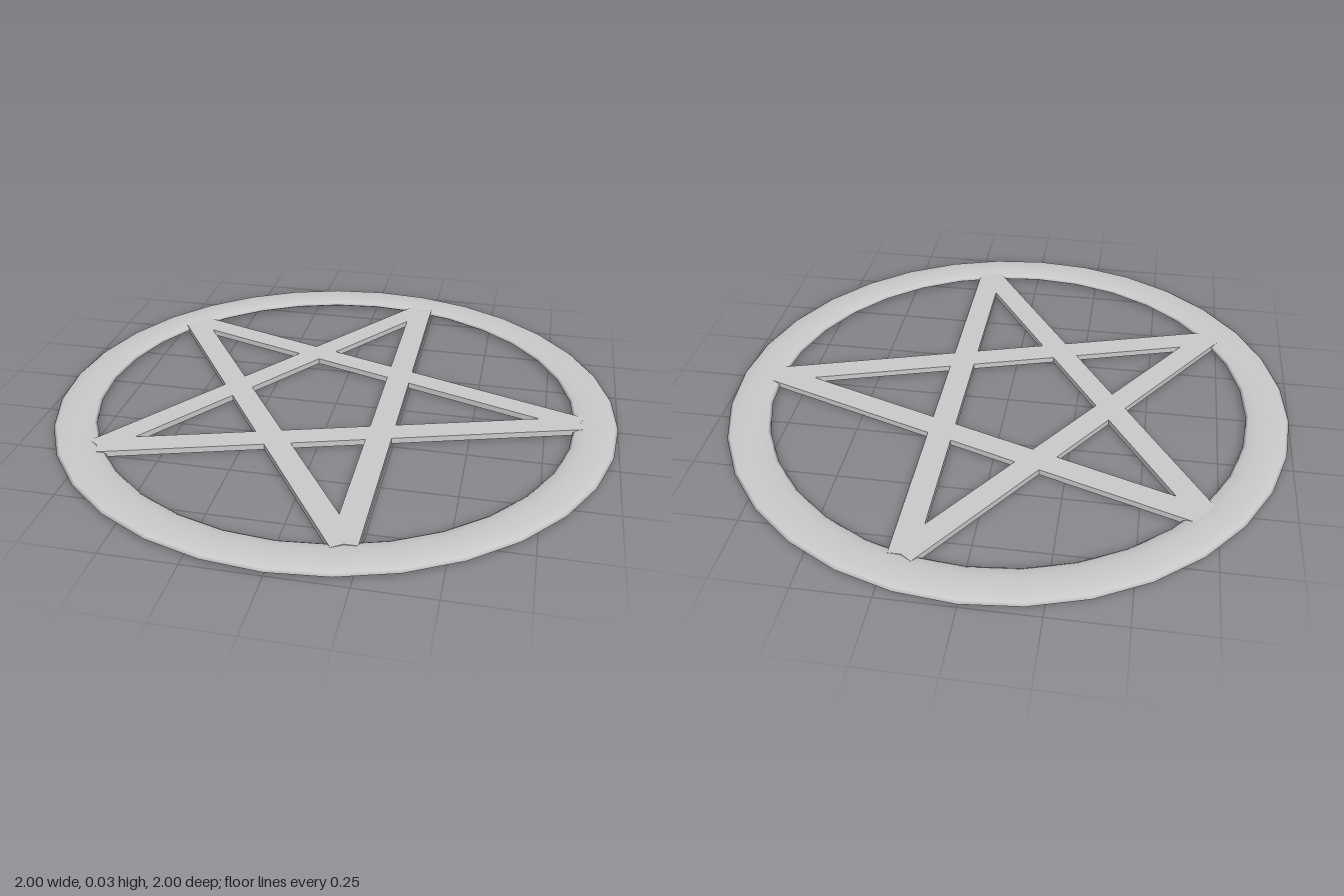
import * as THREE from 'three';

const HEIGHT = 0.026;      // full thickness of the ring
const BAR_HEIGHT = 0.021;
const BAR_WIDTH = 0.086;

export function createModel() {
  const group = new THREE.Group();
  group.name = 'starInRing';
  const material = new THREE.MeshStandardMaterial({ color: 0xcccccc });

  // Outer ring: a torus pressed nearly flat
  const ringGeometry = new THREE.TorusGeometry(0.925, 0.075, 12, 32);
  ringGeometry.rotateX(-Math.PI / 2);
  ringGeometry.scale(1, HEIGHT / 0.15, 1);
  const ring = new THREE.Mesh(ringGeometry, material);
  ring.name = 'ring';
  ring.position.y = HEIGHT / 2;
  group.add(ring);

  // Star tips as [x, z], in order around the ring
  const tips = [[0.87, 0], [0.2, 0.84], [-0.72, 0.48], [-0.72, -0.54], [0.2, -0.84]];

  // Five straight bars, each joining a tip to the next but one
  tips.forEach(([x1, z1], i) => {
    const [x2, z2] = tips[(i + 2) % 5];
    const length = Math.hypot(x2 - x1, z2 - z1);
    const bar = new THREE.Mesh(new THREE.BoxGeometry(length, BAR_HEIGHT, BAR_WIDTH), material);
    bar.name = `starBar${i + 1}`;
    bar.position.set((x1 + x2) / 2, HEIGHT / 2, (z1 + z2) / 2);
    bar.rotation.y = -Math.atan2(z2 - z1, x2 - x1);
    group.add(bar);
  });

  return group;
}
